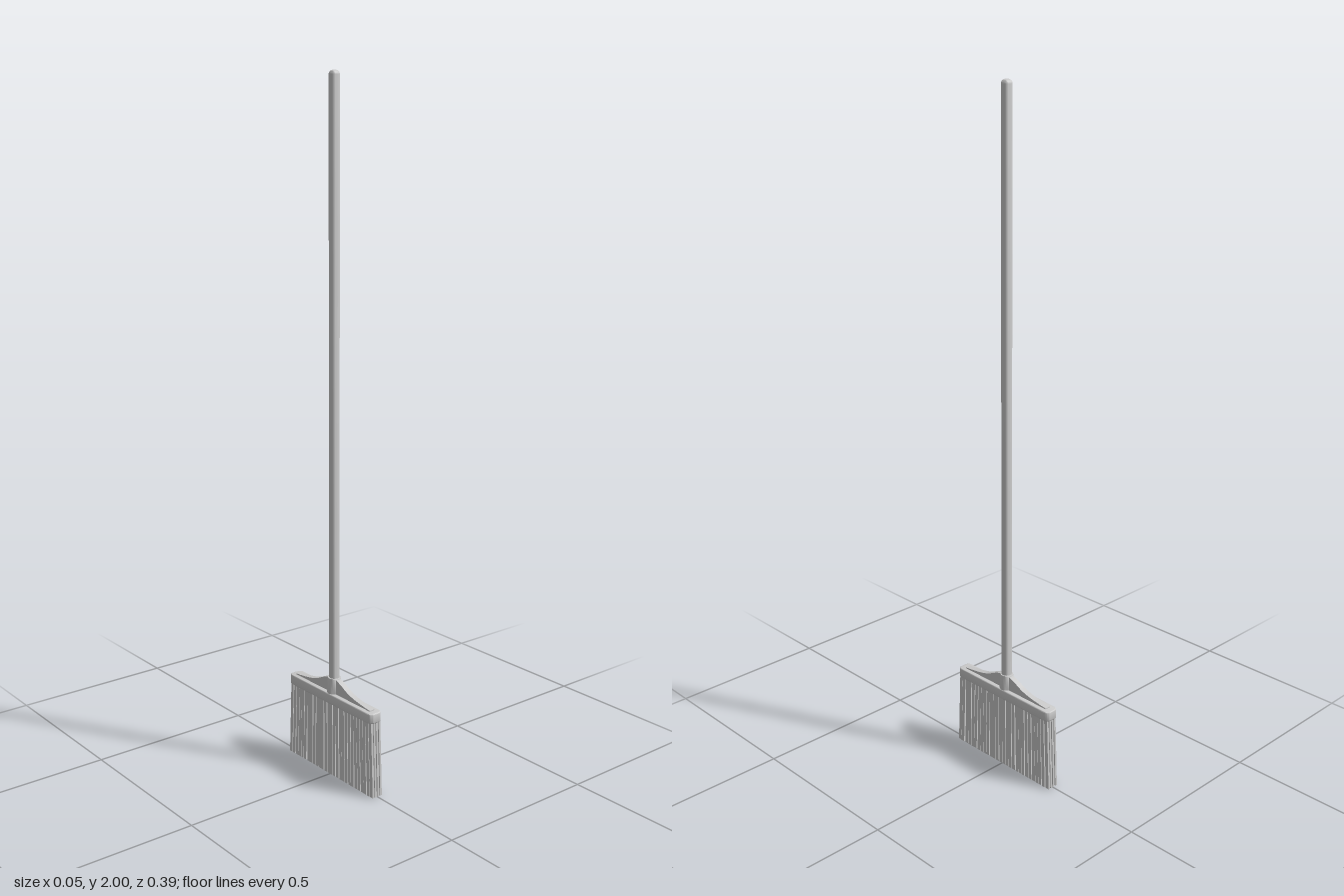
import * as THREE from 'three';
import { mergeGeometries, toCreasedNormals } from 'three/addons/utils/BufferGeometryUtils.js';

const material = new THREE.MeshStandardMaterial({ color: 0xcccccc });

function part(name, geometry) {
  const mesh = new THREE.Mesh(geometry, material);
  mesh.name = name;
  return mesh;
}

const lathe = (points, sides) => toCreasedNormals(
  new THREE.LatheGeometry(points.map(([r, y]) => new THREE.Vector2(r, y)), sides), 0.7);

// Long rounded bar that holds the bristles
function headBar() {
  const w = 0.0225, l = 0.19, r = 0.013, bevel = 0.003;
  const a = w - bevel, b = l - bevel;
  const s = new THREE.Shape();
  s.moveTo(-a + r, -b);
  s.lineTo(a - r, -b);
  s.quadraticCurveTo(a, -b, a, -b + r);
  s.lineTo(a, b - r);
  s.quadraticCurveTo(a, b, a - r, b);
  s.lineTo(-a + r, b);
  s.quadraticCurveTo(-a, b, -a, b - r);
  s.lineTo(-a, -b + r);
  s.quadraticCurveTo(-a, -b, -a + r, -b);
  const g = new THREE.ExtrudeGeometry(s, {
    depth: 0.024, bevelThickness: bevel, bevelSize: bevel, bevelSegments: 3, curveSegments: 8,
  });
  g.rotateX(-Math.PI / 2).translate(0, 0.2265, -0.002);
  return toCreasedNormals(g, 0.7);
}

// Swept rib rising from the bar ends to the socket
function rib() {
  const s = new THREE.Shape();
  s.moveTo(-0.17, 0.245);
  s.lineTo(0.17, 0.245);
  s.lineTo(0.17, 0.256);
  s.bezierCurveTo(0.05, 0.268, 0.07, 0.282, 0.018, 0.297);
  s.lineTo(-0.018, 0.297);
  s.bezierCurveTo(-0.07, 0.282, -0.05, 0.268, -0.17, 0.256);
  const g = new THREE.ExtrudeGeometry(s, { depth: 0.017, bevelEnabled: false, curveSegments: 16 });
  g.translate(0, 0, -0.0085).rotateY(Math.PI / 2).translate(0, 0, -0.002);
  return toCreasedNormals(g, 0.7);
}

// Four rows of flat bristles fanning outward, each with a slightly different lean
function bristles() {
  let seed = 7;
  const jitter = (size) => {
    seed = (seed * 16807) % 2147483647;
    return (seed / 2147483647 - 0.5) * size;
  };
  const rows = 4, perRow = 28, top = 0.235, list = [];
  for (let row = 0; row < rows; row++) {
    for (let i = 0; i < perRow; i++) {
      const t = (i / (perRow - 1)) * 2 - 1;
      const x = (row / (rows - 1) - 0.5) * 0.0285 + jitter(0.001);
      const inner = Math.abs(t) < 1 ? 0.005 : 0;
      const zTop = t * 0.179 + jitter(inner) - 0.001;
      const zBottom = t * 0.189 + jitter(inner) - 0.001;
      const g = new THREE.BoxGeometry(0.0065, top, 0.0115);
      const p = g.attributes.position;
      // Lean each strand while keeping its tip flat on the floor
      for (let v = 0; v < p.count; v++) {
        const y = p.getY(v) + top / 2;
        p.setXYZ(v, p.getX(v) + x, y, p.getZ(v) + zBottom + (zTop - zBottom) * (y / top));
      }
      list.push(g);
    }
  }
  return mergeGeometries(list);
}

export function createModel() {
  const broom = new THREE.Group();
  broom.name = 'broom';

  // Round pole with a softly domed end
  const handle = part('handle', lathe([
    [0, 0.24], [0.015, 0.24], [0.015, 1.988], [0.0143, 1.992],
    [0.0122, 1.9957], [0.009, 1.9982], [0.0048, 1.9996], [0, 2],
  ], 24));

  // Collar around the foot of the pole
  const socket = part('socket', lathe([
    [0, 0.23], [0.021, 0.23], [0.021, 0.256], [0.0195, 0.298],
    [0.0185, 0.3], [0.015, 0.3], [0.015, 0.27],
  ], 24));
  handle.position.z = socket.position.z = -0.002;

  const head = new THREE.Group();
  head.name = 'head';
  head.add(part('headBar', headBar()), part('headRib', rib()), socket, part('bristles', bristles()));

  broom.add(handle, head);
  return broom;
}
